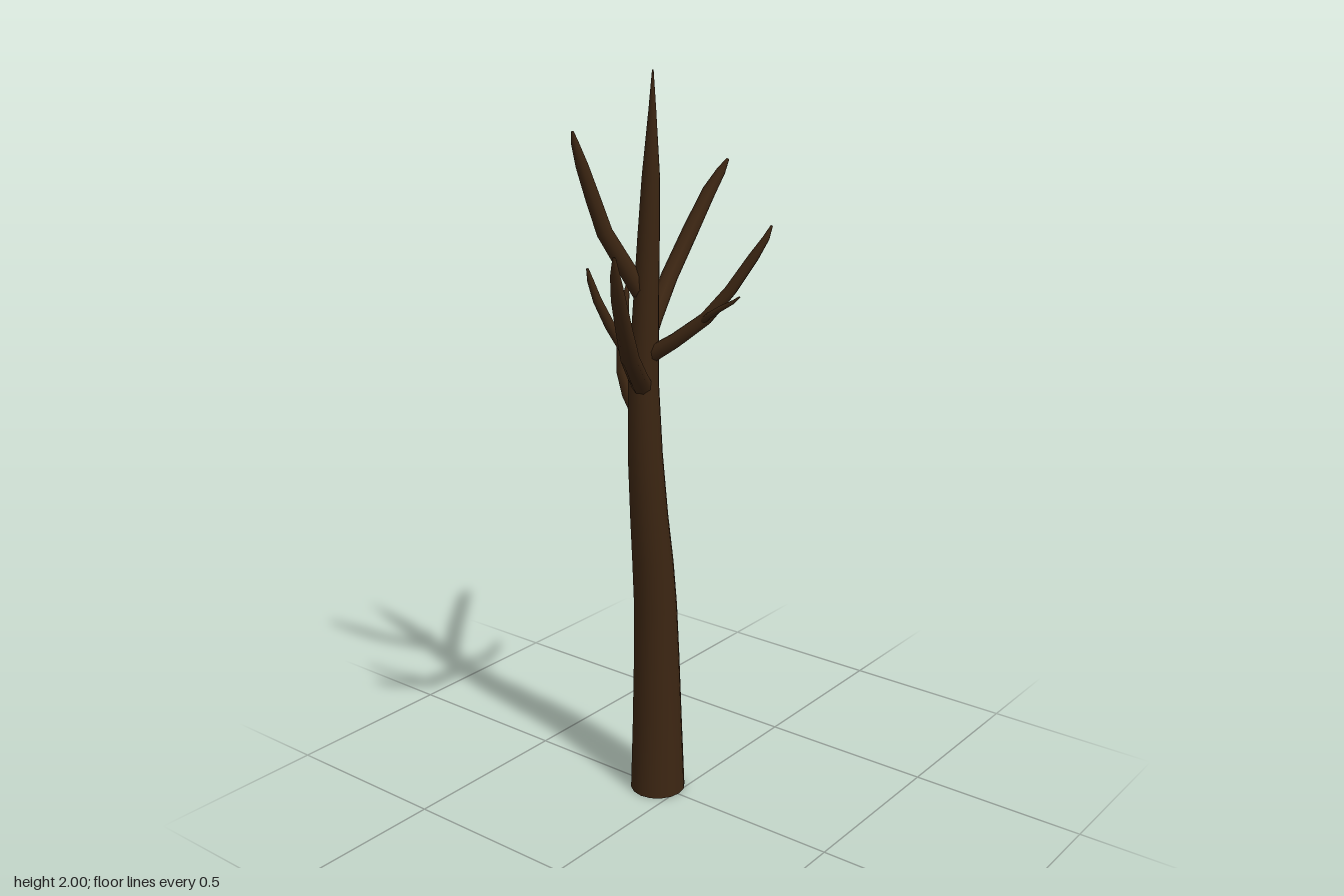
import * as THREE from 'three';

const UP = new THREE.Vector3(0, 1, 0);

// Tapered limb: each station is [x, y, z, radius]; rings are joined and the end closed.
function limbGeometry(stations, sides, level = false) {
  const points = stations.map(([x, y, z]) => new THREE.Vector3(x, y, z));
  const positions = [];
  const indices = [];
  stations.forEach(([, , , radius], i) => {
    const before = points[Math.max(i - 1, 0)];
    const after = points[Math.min(i + 1, points.length - 1)];
    const direction = after.clone().sub(before).normalize();
    const turn = new THREE.Quaternion();
    if (!level) turn.setFromUnitVectors(UP, direction);
    for (let s = 0; s < sides; s++) {
      const a = (s / sides) * Math.PI * 2;
      const p = new THREE.Vector3(Math.sin(a) * radius, 0, Math.cos(a) * radius);
      p.applyQuaternion(turn).add(points[i]);
      positions.push(p.x, p.y, p.z);
    }
  });
  for (let i = 0; i < stations.length - 1; i++) {
    for (let s = 0; s < sides; s++) {
      const a = i * sides + s;
      const b = i * sides + ((s + 1) % sides);
      indices.push(a, b, b + sides, a, b + sides, a + sides);
    }
  }
  // Close the tip
  const last = (stations.length - 1) * sides;
  for (let s = 1; s < sides - 1; s++) indices.push(last, last + s, last + s + 1);

  const geometry = new THREE.BufferGeometry();
  geometry.setAttribute('position', new THREE.Float32BufferAttribute(positions, 3));
  geometry.setIndex(indices);
  geometry.computeVertexNormals();
  return geometry;
}

export function createModel() {
  const tree = new THREE.Group();
  tree.name = 'bareTree';
  const bark = new THREE.MeshStandardMaterial({ color: 0x3b2512 });
  bark.name = 'dark brown bark';

  const add = (name, geometry) => {
    const mesh = new THREE.Mesh(geometry, bark);
    mesh.name = name;
    tree.add(mesh);
    return mesh;
  };

  // Gently swaying trunk that runs up into a pointed leader
  add('trunk', limbGeometry([
    [0.004, 0, -0.068, 0.077],
    [0.013, 0.2, -0.076, 0.07],
    [0.02, 0.4, -0.083, 0.064],
    [0.021, 0.55, -0.087, 0.06],
    [0.013, 0.68, -0.089, 0.057],
    [0, 0.82, -0.091, 0.052],
    [-0.014, 1.0, -0.092, 0.047],
    [-0.02, 1.2, -0.092, 0.041],
    [-0.013, 1.4, -0.088, 0.034],
    [-0.009, 1.58, -0.081, 0.029],
    [-0.007, 1.74, -0.074, 0.023],
    [-0.01, 1.9, -0.066, 0.01],
    [-0.011, 2.0, -0.063, 0.002],
  ], 16, true));

  // Flat underside of the trunk
  const base = add('trunkBase', new THREE.CircleGeometry(0.077, 16));
  base.rotation.x = Math.PI / 2;
  base.position.set(0.004, 0, -0.068);

  // Main branches and their twigs
  const branches = {
    leftBranch: [
      [-0.01, 1.29, -0.1, 0.027], [0.05, 1.355, -0.115, 0.025], [0.148, 1.45, -0.136, 0.023],
      [0.225, 1.557, -0.128, 0.022], [0.298, 1.66, -0.118, 0.019], [0.33, 1.712, -0.102, 0.013],
      [0.346, 1.745, -0.09, 0.004],
    ],
    rightBranch: [
      [-0.015, 1.18, -0.095, 0.028], [-0.1, 1.24, -0.047, 0.026], [-0.192, 1.312, 0.005, 0.024],
      [-0.25, 1.4, 0.035, 0.021], [-0.305, 1.49, 0.064, 0.018], [-0.335, 1.555, 0.08, 0.012],
      [-0.351, 1.6, 0.091, 0.004],
    ],
    rightTwig: [
      [-0.19, 1.32, -0.003, 0.014], [-0.23, 1.4, -0.027, 0.013], [-0.255, 1.465, -0.045, 0.011],
      [-0.268, 1.515, -0.055, 0.008], [-0.273, 1.545, -0.06, 0.003],
    ],
    backRightBranch: [
      [-0.01, 1.42, -0.09, 0.026], [-0.055, 1.505, -0.118, 0.023], [-0.104, 1.6, -0.147, 0.021],
      [-0.13, 1.69, -0.163, 0.019], [-0.153, 1.77, -0.176, 0.016], [-0.168, 1.825, -0.184, 0.01],
      [-0.172, 1.856, -0.189, 0.003],
    ],
    frontBranch: [
      [-0.016, 1.27, -0.08, 0.023], [0.002, 1.32, -0.005, 0.02], [0.028, 1.385, 0.075, 0.018],
      [0.058, 1.46, 0.13, 0.016], [0.088, 1.545, 0.178, 0.014], [0.108, 1.595, 0.203, 0.009],
      [0.117, 1.626, 0.213, 0.003],
    ],
    frontTwig: [
      [0.022, 1.375, 0.065, 0.009], [0.009, 1.4, 0.1, 0.008], [0.007, 1.425, 0.14, 0.007],
      [0.009, 1.445, 0.175, 0.005], [0.011, 1.46, 0.193, 0.002],
    ],
    backBranch: [
      [-0.014, 1.1, -0.11, 0.02], [-0.008, 1.155, -0.152, 0.019], [0, 1.21, -0.179, 0.017],
      [0.02, 1.3, -0.194, 0.016], [0.038, 1.365, -0.203, 0.013], [0.052, 1.41, -0.207, 0.008],
      [0.057, 1.435, -0.208, 0.003],
    ],
  };
  for (const [name, stations] of Object.entries(branches)) add(name, limbGeometry(stations, 8));

  return tree;
}
